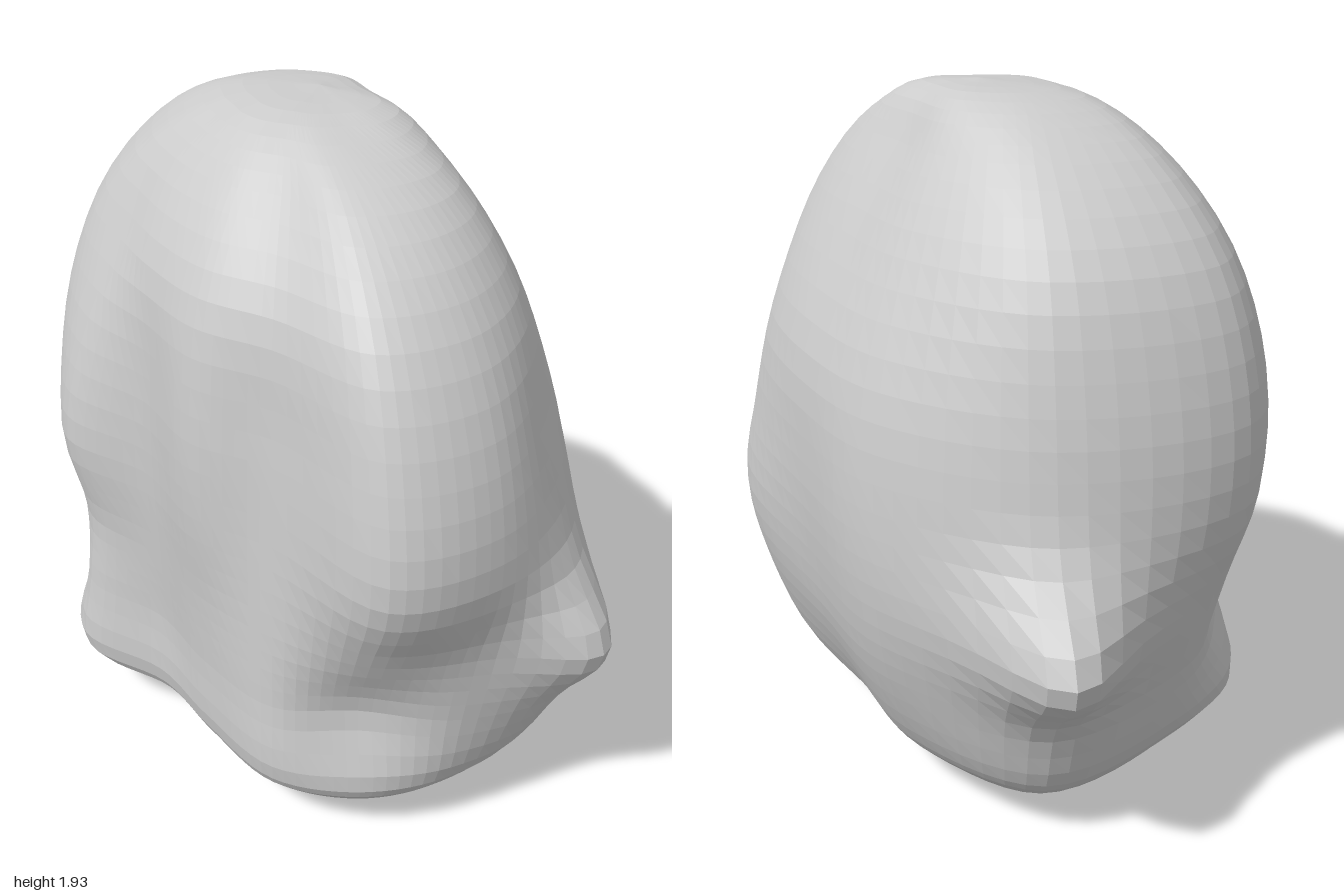
import * as THREE from 'three';

// Directions (degrees from +x towards +z) at which each section is measured
const ANGLES = [0, 40, 65, 85, 103, 122, 145, 172, 198, 225, 255, 290, 325];

// Horizontal sections: height, then the radius in each direction
const SECTIONS = [
  [0.02, 0.26, 0.34, 0.45, 0.46, 0.42, 0.32, 0.25, 0.20, 0.22, 0.30, 0.40, 0.46, 0.33],
  [0.10, 0.39, 0.50, 0.66, 0.69, 0.66, 0.57, 0.44, 0.38, 0.46, 0.51, 0.57, 0.63, 0.47],
  [0.20, 0.47, 0.63, 0.80, 0.79, 0.75, 0.68, 0.53, 0.48, 0.65, 0.70, 0.67, 0.74, 0.57],
  [0.45, 0.58, 0.75, 0.93, 0.84, 0.70, 0.67, 0.54, 0.48, 0.63, 0.63, 0.73, 0.82, 0.68],
  [0.68, 0.62, 0.80, 0.97, 0.88, 0.80, 0.66, 0.55, 0.49, 0.61, 0.67, 0.79, 0.89, 0.73],
  [0.95, 0.63, 0.76, 0.90, 0.95, 0.93, 0.64, 0.57, 0.50, 0.66, 0.72, 0.87, 0.85, 0.73],
  [1.25, 0.60, 0.69, 0.80, 0.91, 0.89, 0.61, 0.56, 0.49, 0.60, 0.71, 0.86, 0.80, 0.68],
  [1.55, 0.46, 0.56, 0.69, 0.77, 0.76, 0.56, 0.50, 0.45, 0.47, 0.60, 0.75, 0.70, 0.54],
  [1.78, 0.31, 0.40, 0.50, 0.53, 0.50, 0.36, 0.33, 0.31, 0.33, 0.41, 0.53, 0.49, 0.38],
  [1.90, 0.22, 0.27, 0.27, 0.23, 0.21, 0.18, 0.17, 0.16, 0.16, 0.20, 0.29, 0.30, 0.27],
];

// Pointed spurs drawn out of the two corners of the flat side
const SPURS = [
  { at: new THREE.Vector3(0.38, 0.68, 0.90), push: new THREE.Vector3(0.01, 0, 0.11), size: 0.16 },
  { at: new THREE.Vector3(0.32, 0.66, -0.85), push: new THREE.Vector3(0.05, 0, -0.165), size: 0.18 },
];

const COLS = 91, ROWS = 44;

function boulderGeometry() {
  // Smooth closed outline for every section
  const rings = SECTIONS.map(([y, ...radii]) => new THREE.CatmullRomCurve3(
    radii.map((r, k) => {
      const a = THREE.MathUtils.degToRad(ANGLES[k]);
      return new THREE.Vector3(r * Math.cos(a), y, r * Math.sin(a));
    }), true));
  const bottom = new THREE.Vector3(0.12, 0, -0.05);
  const top = new THREE.Vector3(0.08, 1.93, -0.02);

  // Meridians joining the outlines from base to crown
  const pos = [], index = [];
  for (let i = 0; i < COLS; i++) {
    const meridian = new THREE.CatmullRomCurve3(
      [bottom, ...rings.map((ring) => ring.getPoint(i / COLS)), top]);
    for (let j = 0; j <= ROWS; j++) {
      const p = meridian.getPoint(j / ROWS);
      const start = p.clone();
      for (const { at, push, size } of SPURS) {
        p.addScaledVector(push, Math.exp(-start.distanceToSquared(at) / size ** 2));
      }
      pos.push(p.x, Math.max(0, p.y), p.z);

      if (j === ROWS) continue;
      const a = i * (ROWS + 1) + j;
      const b = ((i + 1) % COLS) * (ROWS + 1) + j;
      if (j < ROWS - 1) index.push(a, a + 1, b + 1);
      if (j > 0) index.push(a, b + 1, b);
    }
  }
  const geo = new THREE.BufferGeometry();
  geo.setAttribute('position', new THREE.Float32BufferAttribute(pos, 3));
  geo.setIndex(index);
  geo.computeVertexNormals();
  return geo;
}

export function createModel() {
  const group = new THREE.Group();
  group.name = 'rock';
  const boulder = new THREE.Mesh(boulderGeometry(),
    new THREE.MeshStandardMaterial({ color: 0xcccccc, flatShading: true }));
  boulder.name = 'boulder';
  group.add(boulder);
  return group;
}
